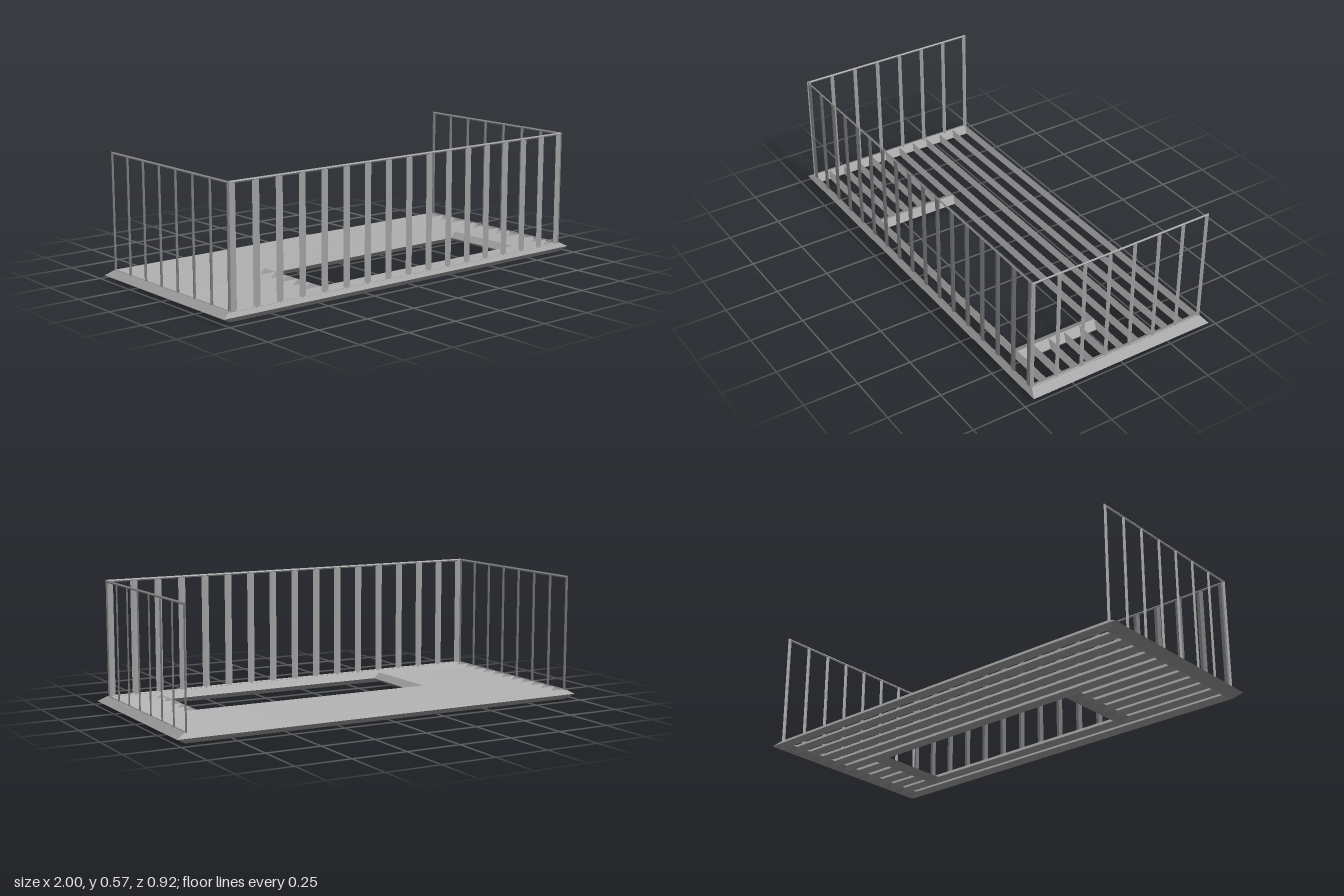
import * as THREE from 'three';

const X = new THREE.Vector3(1, 0, 0), Y = new THREE.Vector3(0, 1, 0), Z = new THREE.Vector3(0, 0, 1);

// Diamond-section beam along dir; the +u edge is longer by slant (mitre) at both ends.
function beamGeometry(dir, u, half, hu, hv, slant = 0) {
  const v = new THREE.Vector3().crossVectors(dir, u);
  const pts = [];
  for (const end of [-1, 1]) {
    for (const [a, b] of [[1, 0], [0, 1], [-1, 0], [0, -1]]) {
      pts.push(new THREE.Vector3()
        .addScaledVector(dir, end * (half + a * slant))
        .addScaledVector(u, a * hu)
        .addScaledVector(v, b * hv));
    }
  }
  const index = [0, 2, 1, 0, 3, 2, 4, 5, 6, 4, 6, 7];
  for (let i = 0; i < 4; i++) {
    const j = (i + 1) % 4;
    index.push(i, j, j + 4, i, j + 4, i + 4);
  }
  const g = new THREE.BufferGeometry().setFromPoints(pts);
  g.setIndex(index);
  const flat = g.toNonIndexed();
  flat.computeVertexNormals();
  return flat;
}

export function createModel() {
  const model = new THREE.Group();
  model.name = 'framedDeck';
  const metal = new THREE.MeshStandardMaterial({ name: 'grey metal', color: 0xa0a0a0, flatShading: true });

  function beam(parent, name, pos, ...shape) {
    const mesh = new THREE.Mesh(beamGeometry(...shape), metal);
    mesh.name = name;
    mesh.position.set(...pos);
    parent.add(mesh);
  }

  // Floor frame: section half sizes in x, y, z
  const floor = new THREE.Group();
  floor.name = 'floor';
  model.add(floor);
  const hx = 0.042, hy = 0.0225, hz = 0.0185, ex = 0.958, ez = 0.44;
  for (const s of [-1, 1]) {
    beam(floor, 'rimJoist', [0, hy, s * ez], X, Z.clone().multiplyScalar(s), ex, hz, hy, hx);
    beam(floor, 'endJoist', [s * ex, hy, 0], Z, X.clone().multiplyScalar(s), ez, hx, hy, hz);
  }

  // Opening trimmers
  const openLeft = -0.43, openRight = 0.73, step = 0.08;
  for (const x of [openLeft, openRight]) {
    beam(floor, 'openingTrimmer', [x, hy, 0.16], Z, X, 0.2, hx, hy);
  }

  // Floor joists, cut short beside the opening
  for (let i = 1; i < 11; i++) {
    const z = -ez + i * step;
    const spans = i > 5 && i < 10 ? [[-ex, openLeft], [openRight, ex]] : [[-ex, ex]];
    for (const [a, b] of spans) {
      beam(floor, 'floorJoist', [(a + b) / 2, hy, z], X, Z, (b - a) / 2, hz, hy);
    }
  }

  // Thin stud wall running along dir, centred on (x, z)
  function wall(name, dir, x, z, half, count, studHalf) {
    const g = new THREE.Group();
    g.name = name;
    g.position.set(x, 0, z);
    model.add(g);
    const low = 0.041, high = 0.569, plate = 0.006, thick = 0.004;
    beam(g, 'topPlate', [0, high, 0], dir, Y, half, plate, thick, studHalf);
    beam(g, 'bottomPlate', [0, low, 0], dir, Y.clone().negate(), half, plate, thick, studHalf);
    for (let i = 0; i < count; i++) {
      const t = -half + (2 * half * i) / (count - 1);
      const end = i === 0 || i === count - 1;
      const u = dir.clone().multiplyScalar(i === 0 ? -1 : 1);
      beam(g, 'stud', [dir.x * t, (low + high) / 2, dir.z * t], Y, u,
        (high - low) / 2, studHalf, thick, end ? plate : 0);
    }
  }
  wall('frontWall', X, -0.002, 0.44, 0.938, 17, 0.0175);
  wall('leftWall', Z, 0.951, 0, 0.436, 8, 0.01);
  wall('rightWall', Z, -0.955, 0, 0.436, 8, 0.01);

  return model;
}
